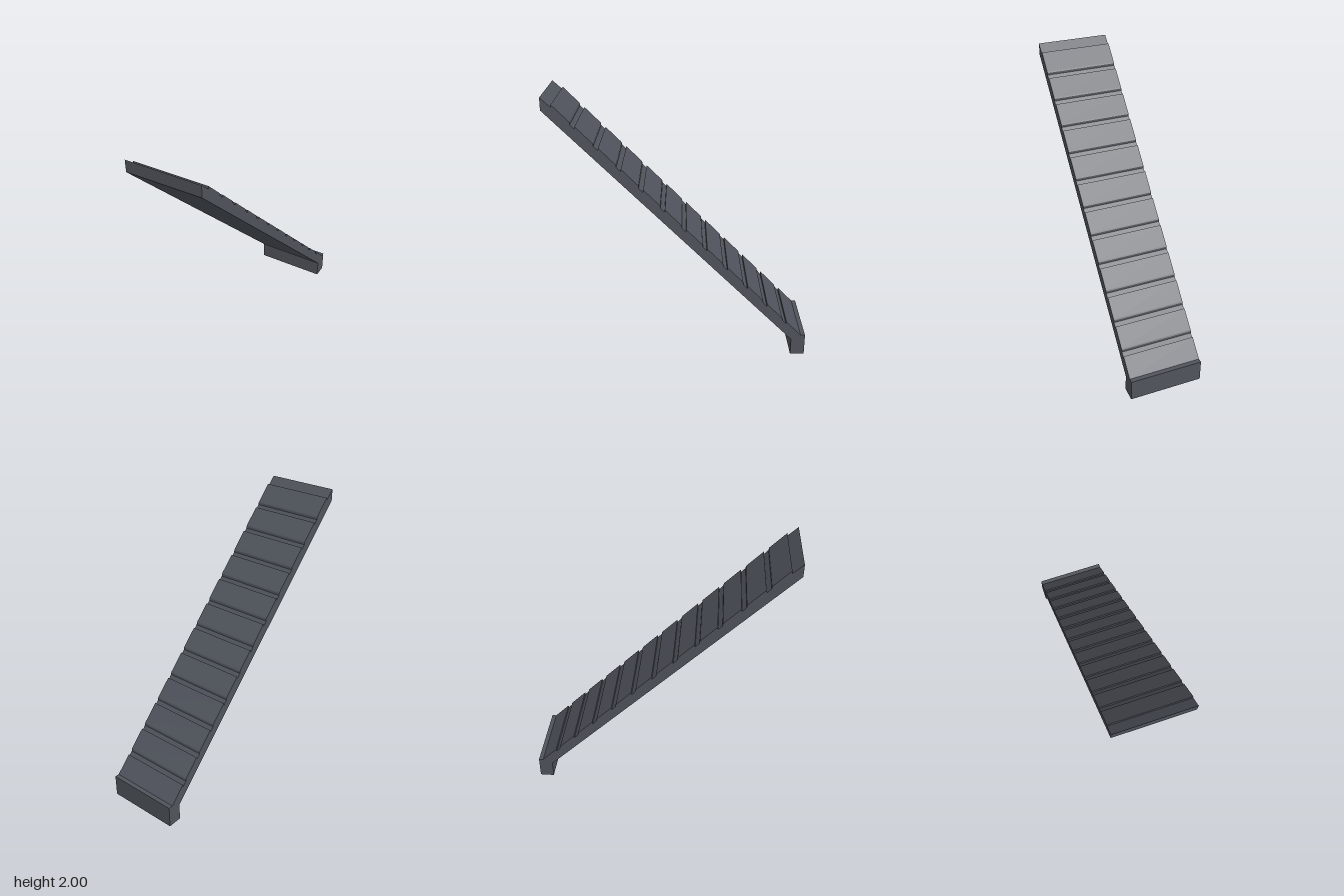
import * as THREE from 'three';

const WIDTH = 0.545;
const STEPS = 12;
const PITCH = 0.1518;

export function createModel() {
  const group = new THREE.Group();
  group.name = 'stairFlight';

  // Side profile as (z, y): underside, foot, then the treads from bottom to top
  const profile = [
    [0.945, 1.912], [-0.84, 0.13], [-0.84, 0], [-0.945, 0], [-0.945, 0.166], [-0.912, 0.166],
  ].map(([z, y]) => new THREE.Vector2(z, y));

  // Each tread is a sloping slab with a raised upper lip and a short groove above it
  for (let k = STEPS - 1; k >= 0; k--) {
    const z = 0.872 - k * PITCH;
    const y = 1.952 - k * PITCH;
    if (k < STEPS - 1) {
      profile.push(new THREE.Vector2(z - 0.12, y - 0.138)); // groove end
      profile.push(new THREE.Vector2(z - 0.118, y - 0.122)); // nosing
      profile.push(new THREE.Vector2(z - 0.112, y - 0.114));
    }
    profile.push(new THREE.Vector2(z, y)); // lip
    profile.push(new THREE.Vector2(z + 0.003, y - 0.018)); // groove start
  }
  profile.push(new THREE.Vector2(0.945, 2));

  // Sweep the profile across the width, centred on x
  const geometry = new THREE.ExtrudeGeometry(new THREE.Shape(profile), {
    depth: WIDTH, bevelEnabled: false,
  });
  geometry.translate(0, 0, -WIDTH / 2);
  geometry.rotateY(-Math.PI / 2);

  const stairs = new THREE.Mesh(
    geometry,
    new THREE.MeshStandardMaterial({ color: 0x50545c }),
  );
  stairs.name = 'steppedRamp';
  group.add(stairs);
  return group;
}
